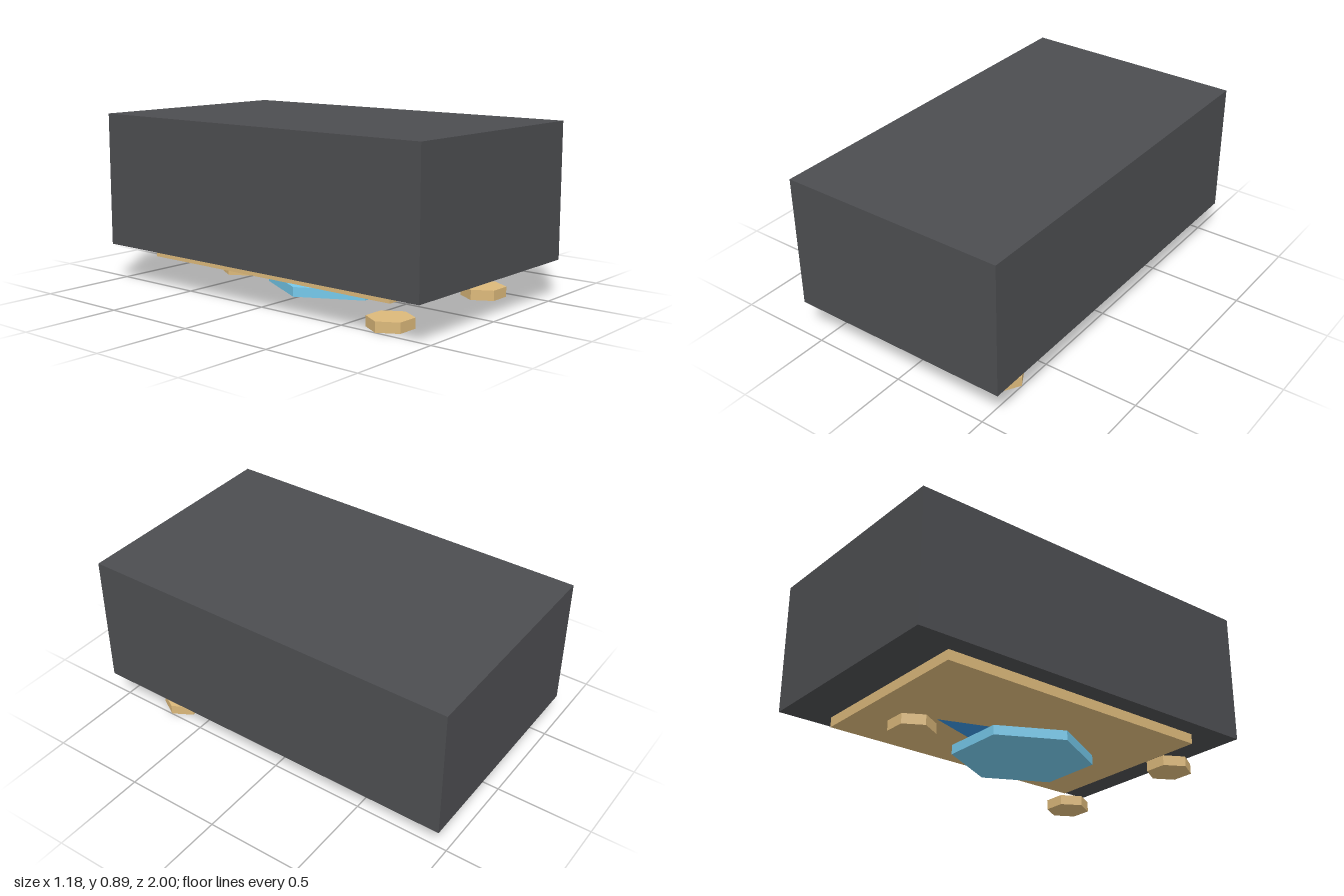
import * as THREE from 'three';

export function createModel() {
  const model = new THREE.Group();
  const paint = (color) => new THREE.MeshStandardMaterial({ color, flatShading: true });
  const dark = paint(0x4c4d50);
  const tan = paint(0xdbb87a);
  const cyan = paint(0x75c8ea);
  const blue = paint(0x3690da);

  function add(name, geometry, material, x, y, z) {
    const mesh = new THREE.Mesh(geometry, material);
    mesh.name = name;
    mesh.position.set(x, y, z);
    model.add(mesh);
    return mesh;
  }

  // Hexagonal prism with two corners on the x axis
  const hexagon = (radius, height) =>
    new THREE.CylinderGeometry(radius, radius, height, 6).rotateY(Math.PI / 2);

  // Large body block and the plate under it
  add('body', new THREE.BoxGeometry(1.18, 0.692, 2), dark, 0, 0.541, 0);
  add('basePlate', new THREE.BoxGeometry(0.975, 0.052, 1.535), tan, 0, 0.169, 0);

  // Flat pointed core, its tips sunk into the plate and the disc
  const core = add('core', new THREE.OctahedronGeometry(1), blue, 0, 0.104, 0);
  core.scale.set(0.165, 0.053, 0.475);

  // Hexagonal disc, slightly longer front to back
  const disc = add('hexDisc', hexagon(0.333, 0.049), cyan, 0, 0.053, 0.055);
  disc.scale.z = 1.1;

  // Three hexagonal feet: a pair in front, one at the back
  const foot = hexagon(0.114, 0.052);
  add('frontLeftFoot', foot, tan, 0.385, 0.026, 0.695);
  add('frontRightFoot', foot, tan, -0.385, 0.026, 0.695);
  add('backFoot', foot, tan, 0, 0.026, -0.614);

  return model;
}
